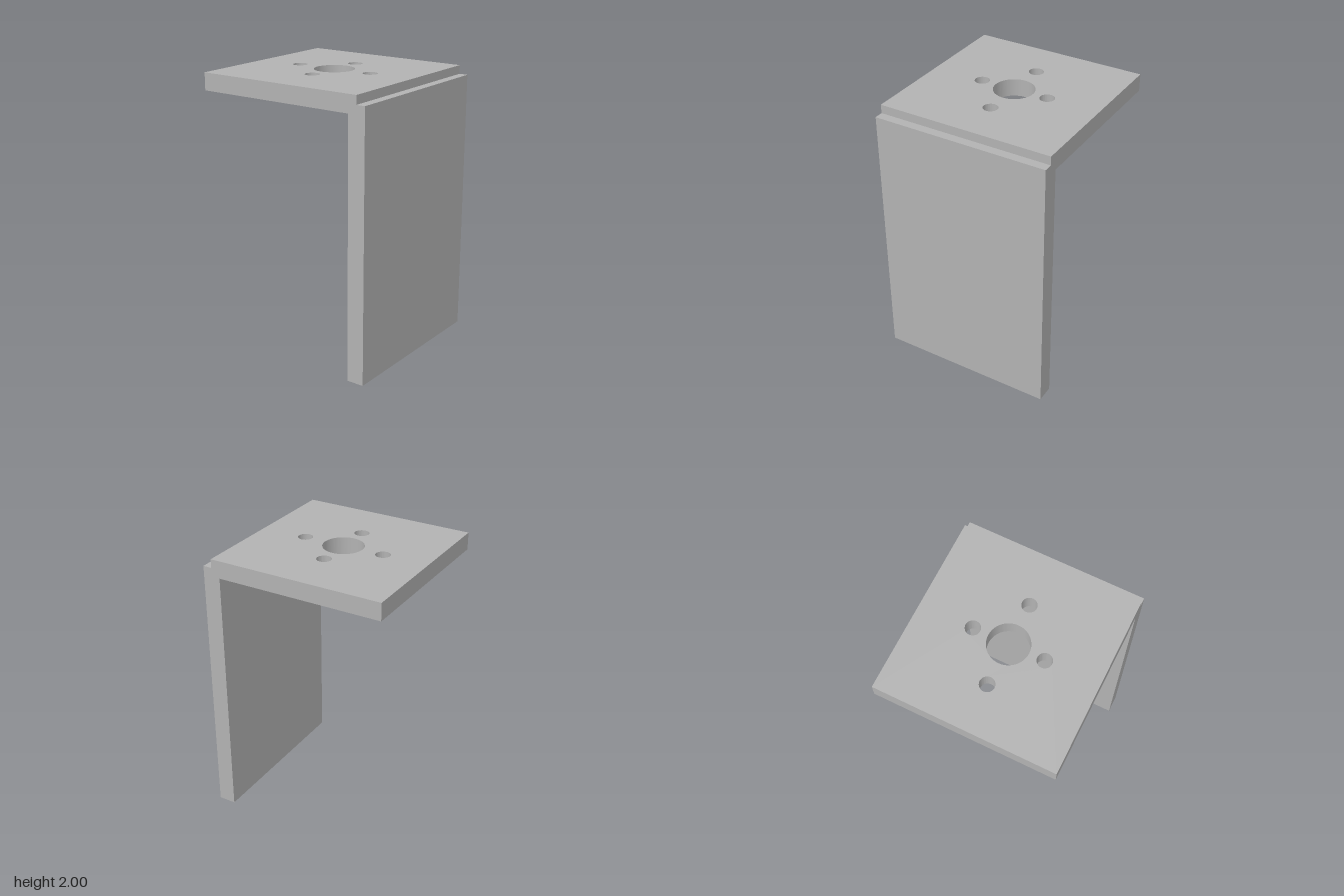
import * as THREE from 'three';
import { toCreasedNormals } from 'three/addons/utils/BufferGeometryUtils.js';

const HALF_WIDTH = 0.645;
const FRONT = 0.677, BACK = -0.677;
const STEP_Z = 0.612, INNER_Z = 0.549; // half and full plate thickness behind the front
const TOP = 2, STEP_Y = 1.937, UNDERSIDE = 1.873;

export function createModel() {
  const model = new THREE.Group();
  model.name = 'mountingBracket';
  const metal = new THREE.MeshStandardMaterial({ color: 0xb2b2b2 });
  metal.name = 'grey metal';

  const add = (name, geometry) => {
    const mesh = new THREE.Mesh(toCreasedNormals(geometry, 0.6), metal);
    mesh.name = name;
    model.add(mesh);
  };

  // Horizontal plate, drawn in x and -z, with a bore and four bolt holes
  const plate = new THREE.Shape([
    new THREE.Vector2(-HALF_WIDTH, -STEP_Z),
    new THREE.Vector2(HALF_WIDTH, -STEP_Z),
    new THREE.Vector2(HALF_WIDTH, -BACK),
    new THREE.Vector2(-HALF_WIDTH, -BACK),
  ]);
  const boreZ = -0.034;
  const holes = [
    [0, 0, 0.146],
    [0.257, 0, 0.053], [-0.257, 0, 0.053],
    [0, 0.306, 0.053], [0, -0.306, 0.053],
  ];
  for (const [x, dz, radius] of holes) {
    const hole = new THREE.Path();
    hole.absarc(x, -(boreZ + dz), radius, 0, Math.PI * 2, true);
    plate.holes.push(hole);
  }
  add('topPlate', new THREE.ExtrudeGeometry(plate, {
    depth: TOP - UNDERSIDE, bevelEnabled: false, curveSegments: 48,
  }).rotateX(-Math.PI / 2).translate(0, UNDERSIDE, 0));

  // Upright plate, drawn in z and y, with a rebate that receives the top plate
  const wall = new THREE.Shape([
    new THREE.Vector2(INNER_Z, 0),
    new THREE.Vector2(FRONT, 0),
    new THREE.Vector2(FRONT, STEP_Y),
    new THREE.Vector2(STEP_Z, STEP_Y),
    new THREE.Vector2(STEP_Z, UNDERSIDE),
    new THREE.Vector2(INNER_Z, UNDERSIDE),
  ]);
  add('frontPlate', new THREE.ExtrudeGeometry(wall, {
    depth: HALF_WIDTH * 2, bevelEnabled: false,
  }).rotateY(-Math.PI / 2).translate(HALF_WIDTH, 0, 0));

  return model;
}
